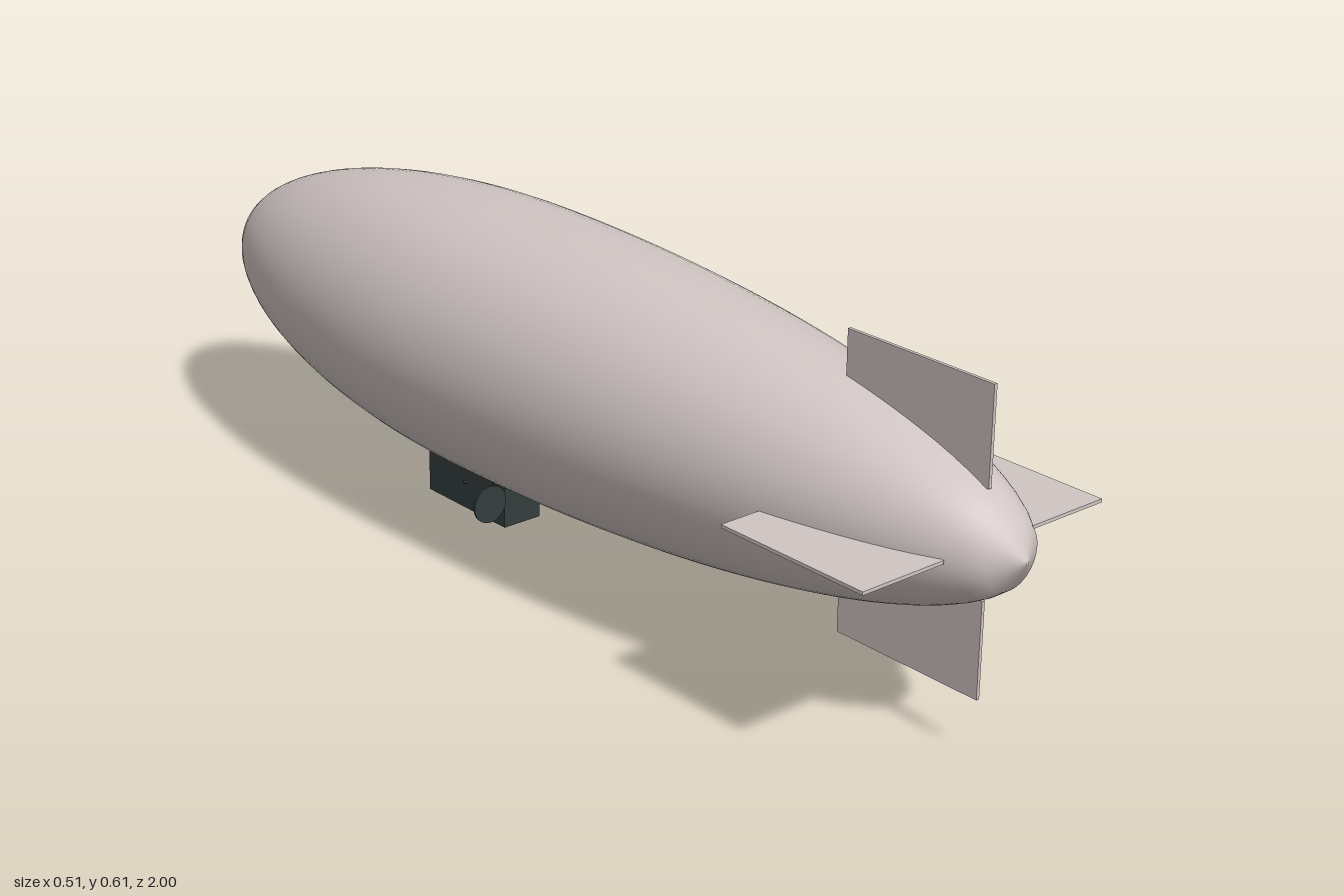
import * as THREE from 'three';

const AXIS_Y = 0.35, RADIUS = 0.246, WIDEST_Z = -0.2;

function material(name, color) {
  const m = new THREE.MeshStandardMaterial({ color });
  m.name = name;
  return m;
}

export function createModel() {
  const group = new THREE.Group();
  group.name = 'airship';
  const fabric = material('pale warm grey', 0xd0c5c3);
  const dark = material('dark slate', 0x343d3d);

  function add(name, geometry, mat, x, y, z, parent = group) {
    const mesh = new THREE.Mesh(geometry, mat);
    mesh.name = name;
    mesh.position.set(x, y, z);
    parent.add(mesh);
    return mesh;
  }

  // Hull: blunt half-ellipse towards the nose (-z), longer one towards the tail (+z)
  const profile = [];
  const steps = 64;
  for (let i = 0; i <= steps; i++) {
    const z = -1 + (2 * i) / steps;
    const t = (z - WIDEST_Z) / (z < WIDEST_Z ? 0.8 : 1.2);
    const r = RADIUS * Math.sqrt(Math.max(0, 1 - t * t));
    profile.push(new THREE.Vector2(i % steps === 0 ? 0.002 : r, z));
  }
  const hull = new THREE.LatheGeometry(profile, 64);
  hull.rotateX(Math.PI / 2);
  add('hull', hull, fabric, 0, AXIS_Y, 0);

  // Four tail fins in a cross
  const finGeometry = new THREE.BoxGeometry(0.006, 0.165, 0.3);
  finGeometry.translate(0, 0.1735, 0);
  ['topFin', 'rightFin', 'bottomFin', 'leftFin'].forEach((name, i) => {
    add(name, finGeometry, fabric, 0, AXIS_Y, 0.77).rotation.z = (i * Math.PI) / 2;
  });

  // Gondola under the hull
  const gondola = new THREE.Group();
  gondola.name = 'gondola';
  group.add(gondola);
  add('cabin', new THREE.BoxGeometry(0.08, 0.102, 0.225), dark, 0, 0.051, -0.302, gondola);

  // Mirrored side panels, pins and propeller discs
  const discGeometry = new THREE.CylinderGeometry(0.035, 0.035, 0.004, 32);
  discGeometry.rotateX(Math.PI / 2);
  const pinGeometry = new THREE.CylinderGeometry(0.003, 0.003, 0.006, 8);
  pinGeometry.rotateZ(Math.PI / 2);
  const panelGeometry = new THREE.BoxGeometry(0.002, 0.03, 0.16);
  for (const [side, s] of [['left', 1], ['right', -1]]) {
    add(side + 'SidePanel', panelGeometry, dark, s * 0.0405, 0.066, -0.302, gondola);
    add(side + 'Pin', pinGeometry, dark, s * 0.042, 0.052, -0.303, gondola);
    add(side + 'Propeller', discGeometry, dark, s * 0.08, 0.061, -0.18, gondola);
  }
  return group;
}
